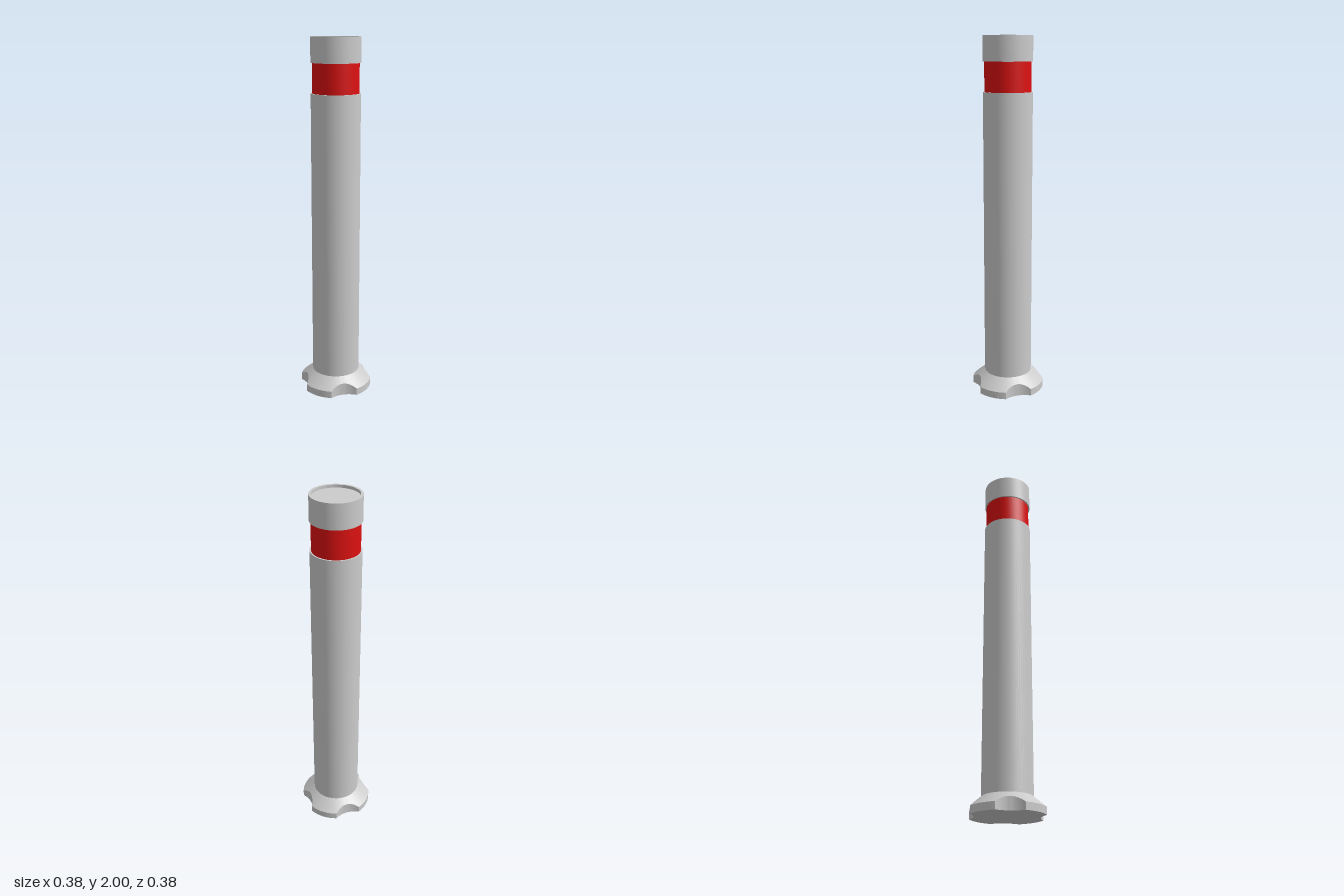
import * as THREE from 'three';
import { toCreasedNormals } from 'three/addons/utils/BufferGeometryUtils.js';

const SEGMENTS = 64;
const POST_R = 0.135, BAND_R = 0.127, BASE_R = 0.206;
const BASE_TOP = 0.1, BASE_EDGE = 0.04;

function addMesh(group, name, geometry, color = 0xcccccc) {
  const mesh = new THREE.Mesh(
    toCreasedNormals(geometry, 0.5),
    new THREE.MeshStandardMaterial({ color })
  );
  mesh.name = name;
  group.add(mesh);
}

function lathe(profile) {
  return new THREE.LatheGeometry(profile.map(([r, y]) => new THREE.Vector2(r, y)), SEGMENTS);
}

// Conical foot whose round outline is cut by four upright cylindrical scallops
function scallopedBase() {
  const notchHalf = Math.atan2(0.075, 0.192), notchCentre = 0.309, notchR = 0.139;
  const steps = 14, outline = [];
  for (let q = 0; q < 4; q++) {
    const middle = q * Math.PI / 2;
    for (let i = 0; i < steps; i++) {
      const t = -notchHalf + 2 * notchHalf * i / steps;
      const r = notchCentre * Math.cos(t) - Math.sqrt(notchR ** 2 - (notchCentre * Math.sin(t)) ** 2);
      outline.push([middle + t, Math.min(r, BASE_R)]);
    }
    for (let i = 0; i < steps; i++) {
      outline.push([middle + notchHalf + (Math.PI / 2 - 2 * notchHalf) * i / steps, BASE_R]);
    }
  }
  const coneY = r => BASE_EDGE + (BASE_TOP - BASE_EDGE) * (BASE_R - r) / (BASE_R - POST_R);
  const rings = [r => [0, 0], r => [r, 0], r => [r, coneY(r)], r => [POST_R, BASE_TOP]];
  const positions = [], index = [], n = outline.length;
  rings.forEach((ring, k) => outline.forEach(([a, radius], i) => {
    const [r, y] = ring(radius);
    positions.push(r * Math.sin(a), y, r * Math.cos(a));
    if (k === 0) return;
    const next = (i + 1) % n;
    const lowA = (k - 1) * n + i, lowB = (k - 1) * n + next;
    const highA = k * n + i, highB = k * n + next;
    if (k > 1) index.push(lowA, lowB, highA);
    index.push(lowB, highB, highA);
  }));
  const geometry = new THREE.BufferGeometry();
  geometry.setAttribute('position', new THREE.Float32BufferAttribute(positions, 3));
  geometry.setIndex(index);
  return geometry;
}

export function createModel() {
  const group = new THREE.Group();
  group.name = 'bollard';

  addMesh(group, 'base', scallopedBase());
  addMesh(group, 'post', lathe([[POST_R, BASE_TOP], [POST_R, 1.705], [BAND_R, 1.705]]));
  addMesh(group, 'redBand', lathe([[BAND_R, 1.705], [BAND_R, 1.865]]), 0xdd1111);

  // Cap with a shallow recessed top
  addMesh(group, 'cap', lathe([
    [BAND_R, 1.865], [POST_R, 1.865], [POST_R, 2], [0.122, 2], [0.122, 1.985], [0, 1.985],
  ]));
  return group;
}
